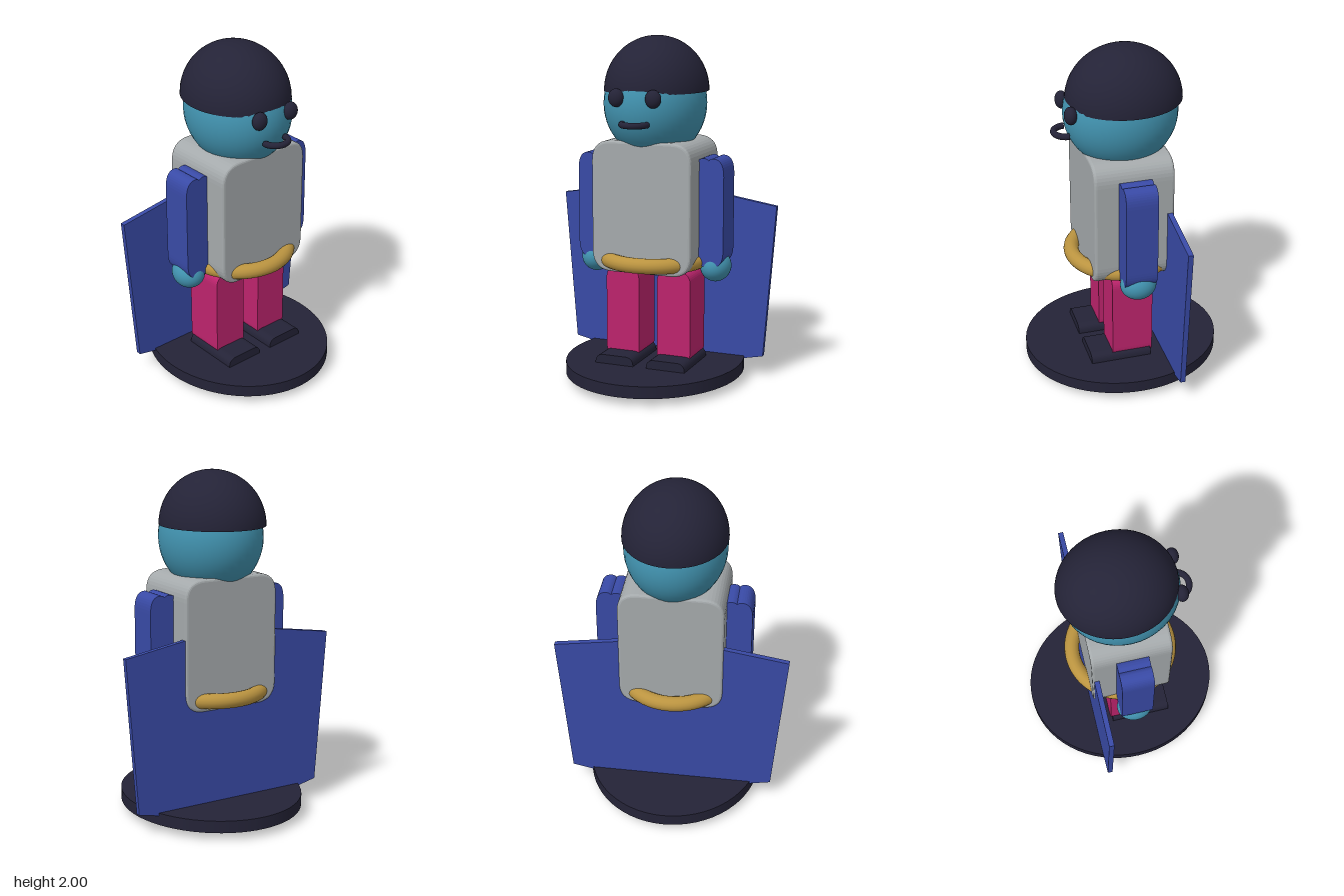
import * as THREE from 'three';

const mat = (name, color, side = THREE.FrontSide) => {
  const m = new THREE.MeshStandardMaterial({ color, side });
  m.name = name;
  return m;
};

// Rounded rectangle centred on (cx, cy)
function roundedRect(cx, cy, w, h, r) {
  const x = cx - w / 2, y = cy - h / 2;
  const s = new THREE.Shape();
  s.moveTo(x + r, y);
  s.lineTo(x + w - r, y);
  s.quadraticCurveTo(x + w, y, x + w, y + r);
  s.lineTo(x + w, y + h - r);
  s.quadraticCurveTo(x + w, y + h, x + w - r, y + h);
  s.lineTo(x + r, y + h);
  s.quadraticCurveTo(x, y + h, x, y + h - r);
  s.lineTo(x, y + r);
  s.quadraticCurveTo(x, y, x + r, y);
  return s;
}

// Sleeve outline: both ends have two bumps with a shallow notch between
function sleeveShape(cx, bottom, top) {
  const s = new THREE.Shape();
  const w = 0.09, p = 0.027, n = 0.012, r = 0.1;
  s.moveTo(cx + w, bottom + r);
  s.lineTo(cx + w, top - r);
  s.quadraticCurveTo(cx + w, top, cx + p, top);
  s.quadraticCurveTo(cx + p / 2, top, cx, top - n);
  s.quadraticCurveTo(cx - p / 2, top, cx - p, top);
  s.quadraticCurveTo(cx - w, top, cx - w, top - r);
  s.lineTo(cx - w, bottom + r);
  s.quadraticCurveTo(cx - w, bottom, cx - p, bottom);
  s.quadraticCurveTo(cx - p / 2, bottom, cx, bottom + n);
  s.quadraticCurveTo(cx + p / 2, bottom, cx + p, bottom);
  s.quadraticCurveTo(cx + w, bottom, cx + w, bottom + r);
  return s;
}

// Extrude a front outline between two z positions
function slab(shape, z0, z1, bevel = 0) {
  const g = new THREE.ExtrudeGeometry(shape, {
    depth: z1 - z0 - 2 * bevel, curveSegments: 10,
    bevelEnabled: bevel > 0, bevelSize: bevel, bevelThickness: bevel,
    bevelOffset: -bevel, bevelSegments: 3,
  });
  return g.translate(0, 0, z0 + bevel);
}

export function createModel() {
  const model = new THREE.Group();
  model.name = 'figurine';
  const dark = mat('darkNavy', 0x242337, THREE.DoubleSide);
  const skin = mat('tealSkin', 0x4294b1);
  const grey = mat('greyTunic', 0xa5aaac);
  const blue = mat('blueCloth', 0x394aa6);
  const pink = mat('pinkTrousers', 0xbd246d);
  const gold = mat('goldBelt', 0xbb9440);

  const add = (name, geometry, material, x = 0, y = 0, z = 0) => {
    const mesh = new THREE.Mesh(geometry, material);
    mesh.name = name;
    mesh.position.set(x, y, z);
    model.add(mesh);
    return mesh;
  };
  const ellipsoid = (rx, ry, rz) => new THREE.SphereGeometry(1, 40, 28).scale(rx, ry, rz);

  // Oval stand
  add('base', new THREE.CylinderGeometry(1, 1, 0.07, 64).scale(0.515, 1, 0.58), dark, 0, 0.085, 0);

  // Flat cape with pointed hem and top
  const cape = new THREE.Shape([
    [0, 0.005], [0.6, 0.13], [0.67, 1.03], [0.29, 1.09], [-0.29, 1.09], [-0.67, 1.03], [-0.6, 0.13],
  ].map(([x, y]) => new THREE.Vector2(x, y)));
  add('cape', slab(cape, -0.22, -0.19), blue);

  // Torso and belt
  add('torso', slab(roundedRect(0, 1.042, 0.6, 0.755, 0.12), -0.23, 0.23, 0.015), grey);
  add('belt', new THREE.TorusGeometry(0.29, 0.044, 16, 64).rotateX(Math.PI / 2), gold, 0, 0.728, 0);

  // Head, hair cap and mouth
  add('head', ellipsoid(0.29, 0.32, 0.325), skin, 0, 1.62, 0);
  add('hair', new THREE.SphereGeometry(1, 48, 20, 0, Math.PI * 2, 0, Math.PI / 2).scale(0.295, 0.31, 0.33),
    dark, 0, 1.69, -0.018);
  add('mouth', new THREE.TorusGeometry(0.072, 0.018, 12, 28, Math.PI).rotateX(Math.PI / 2), dark, 0, 1.527, 0.31);

  // Mirrored parts
  for (const [side, k] of [['left', 1], ['right', -1]]) {
    add(side + 'Eye', ellipsoid(0.045, 0.051, 0.036), dark, k * 0.11, 1.67, 0.31);
    add(side + 'Arm', slab(sleeveShape(k * 0.355, 0.71, 1.328), -0.092, 0.092), blue);
    add(side + 'Hand', ellipsoid(0.088, 0.09, 0.104), skin, k * 0.371, 0.7, 0);
    add(side + 'Leg', slab(roundedRect(k * 0.158, 0.395, 0.204, 0.55, 0.07), -0.12, 0.12), pink);
    add(side + 'Shoe', slab(roundedRect(k * 0.158, 0.12, 0.235, 0.105, 0.05), -0.11, 0.25), dark);
  }
  return model;
}
